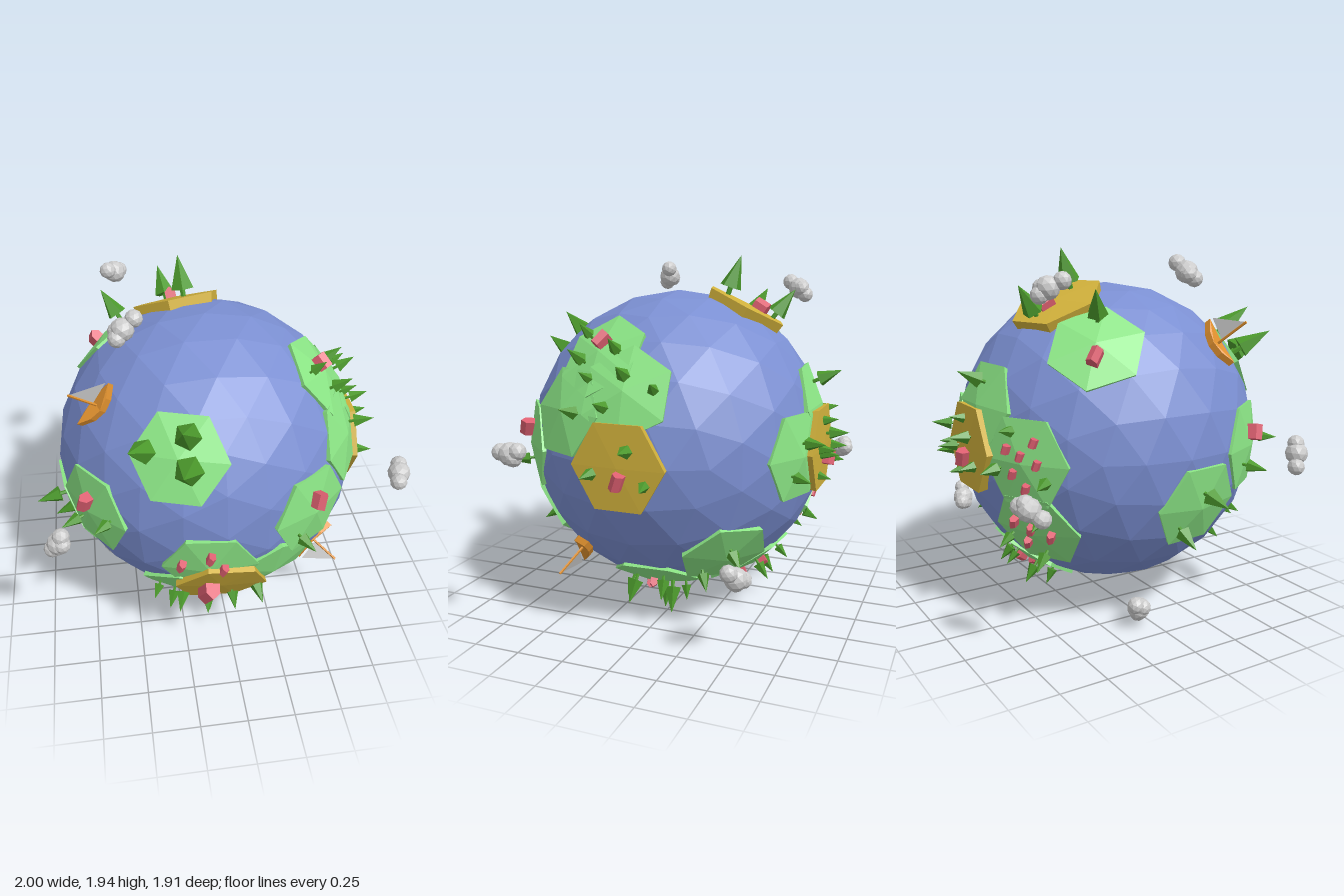
import * as THREE from 'three';

const mat = (color, side = THREE.FrontSide) => new THREE.MeshStandardMaterial({ color, flatShading: true, side });
const OCEAN = mat(0x7b8fd2), GRASS = mat(0x8be585), SAND = mat(0xd2b23c), TREE = mat(0x4c9a2c);
const BRICK = mat(0xdd5f70), WOOD = mat(0xe0912f), SAIL = mat(0xcccccc, THREE.DoubleSide), CLOUD = mat(0xbcbcbc);
const rad = THREE.MathUtils.degToRad;

function mesh(name, geometry, material) {
  const m = new THREE.Mesh(geometry, material);
  m.name = name;
  return m;
}

const polygon = (points) => new THREE.Shape(points.map(([a, b]) => new THREE.Vector2(a, b)));

// Stand an object on the globe: its y axis points outwards along y, its z axis along forward
function place(parent, obj, y, height, roll, forward) {
  y.normalize();
  const x = new THREE.Vector3().crossVectors(y, forward).normalize();
  const z = new THREE.Vector3().crossVectors(x, y);
  obj.quaternion.setFromRotationMatrix(new THREE.Matrix4().makeBasis(x, y, z));
  obj.position.copy(y).multiplyScalar(height);
  obj.rotateY(rad(roll));
  parent.add(obj);
}

// Hexagonal slab with a slightly raised centre
function plate(material, rim, crown) {
  const base = 0.745, h = rim - base;
  const g = new THREE.CylinderGeometry(0.25, 0.235, h, 6);
  const p = g.attributes.position;
  for (let i = 0; i < p.count; i++) {
    if (Math.hypot(p.getX(i), p.getZ(i)) < 0.01 && p.getY(i) > 0) p.setY(i, h / 2 + crown - rim);
  }
  return mesh('landPlate', g.translate(0, h / 2 + base, 0), material);
}

// Pine: thin trunk under a five-sided cone
function makeTree(s) {
  const g = new THREE.Group();
  g.name = 'tree';
  const trunk = mesh('trunk', new THREE.CylinderGeometry(s * 0.06, s * 0.06, s * 0.4, 5), TREE);
  trunk.position.y = s * 0.15;
  const crown = mesh('crown', new THREE.ConeGeometry(s * 0.26, s * 0.75, 5), TREE);
  crown.position.y = s * 0.625;
  g.add(trunk, crown);
  return g;
}

// House: gabled block
function makeHouse(s) {
  const w = s * 0.36;
  const gable = polygon([[-w, -0.02], [w, -0.02], [w, s * 0.5], [0, s * 0.82], [-w, s * 0.5]]);
  const g = new THREE.ExtrudeGeometry(gable, { depth: s, bevelEnabled: false });
  return mesh('house', g.translate(0, 0, -s / 2), BRICK);
}

// Boat: pointed hull, mast and a triangular sail, bow along +z
function makeBoat() {
  const g = new THREE.Group();
  g.name = 'boat';
  const outline = new THREE.Shape();
  outline.moveTo(0, -0.135);
  outline.quadraticCurveTo(0.09, 0, 0, 0.135);
  outline.quadraticCurveTo(-0.09, 0, 0, -0.135);
  const hull = new THREE.ExtrudeGeometry(outline, { depth: 0.035, bevelEnabled: false, curveSegments: 4 });
  hull.rotateX(Math.PI / 2).translate(0, 0.035, 0);
  // raise bow and stern
  const p = hull.attributes.position;
  for (let i = 0; i < p.count; i++) p.setY(i, p.getY(i) + 1.4 * p.getZ(i) ** 2);
  const mast = mesh('mast', new THREE.CylinderGeometry(0.007, 0.007, 0.2, 5), WOOD);
  mast.position.y = 0.12;
  const sail = new THREE.ShapeGeometry(polygon([[0, 0.06], [0.13, 0.075], [0, 0.22]])).rotateY(-Math.PI / 2);
  g.add(mesh('hull', hull, WOOD), mast, mesh('sail', sail, SAIL));
  return g;
}

// Cloud: a big faceted puff with three smaller ones around it
function makeCloud() {
  const g = new THREE.Group();
  g.name = 'cloud';
  for (let i = 0; i < 4; i++) {
    const puff = mesh('puff', new THREE.IcosahedronGeometry(i ? 0.045 : 0.06, 1), CLOUD);
    if (i) puff.position.set(0.04 * (i - 2), 0.01 * (i - 2), 0.065 * Math.cos(i * 2.1));
    g.add(puff);
  }
  return g;
}

// Land plates by latitude and longitude in degrees, with what stands on each
const LANDS = [
  { lat: 30, lon: -18, trees: 3, size: 0.29, turn: -30, fan: 100 },
  { lat: -1, lon: -54, houses: 1, trees: 2 },
  { lat: -19, lon: -83, trees: 2, size: 0.18 },
  { lat: 0, lon: 35, houses: 1 },
  { lat: -16, lon: -6, houses: 3, trees: 0, home: 0.05, turn: 20, fan: 70 },
  { lat: -30, lon: -1, roll: -10, sand: true, houses: 1, trees: 2, home: 0.11, turn: 175, fan: 60 },
  { lat: -27, lon: 21, roll: 30, turn: 230 },
  { lat: -40, lon: -18, roll: 30, trees: 4 },
  { lat: 0, lon: 90, sand: true, houses: 1, trees: 3, turn: -80 },
  { lat: 40, lon: 72, roll: -23, houses: 1, trees: 4 },
  { lat: 26, lon: 90, roll: 30, trees: 3 },
  { lat: 17, lon: 63, turn: 0 },
  { lat: 63, lon: -163, sand: true, houses: 1, trees: 2, size: 0.24, turn: 270, fan: 180 },
  { lat: 42, lon: -125, roll: 22, houses: 1, size: 0.21, turn: 270, fan: 180 },
  { lat: 0, lon: 180, sand: true, houses: 1, trees: 5, turn: 270 },
  { lat: 16, lon: -175, size: 0.17 },
  { lat: 0, lon: 161, trees: 3 },
  { lat: -1, lon: -150, houses: 6, trees: 3, home: 0.045 },
  { lat: -29, lon: -150, houses: 4, trees: 3, home: 0.05 },
  { lat: -40, lon: 134, roll: -8, trees: 2 },
  { lat: -62, lon: 93, houses: 2, trees: 6, size: 0.18, home: 0.055 },
  { lat: -56, lon: 175, houses: 2, trees: 4, home: 0.055 },
];

// One land plate; houses, then trees, spiral out from its middle and shrink a little on the way
function makeLand({ roll = 0, sand = false, houses = 0, trees = 1, size = 0.14, home = 0.08, turn = 90, fan = 137.5 }) {
  const land = new THREE.Group();
  land.name = sand ? 'sandLand' : 'grassLand';
  const slab = sand ? plate(SAND, 0.825, 0.835) : plate(GRASS, 0.795, 0.838);
  slab.rotation.y = rad(roll);
  land.add(slab);
  const count = houses + trees;
  for (let i = 0; i < count; i++) {
    const r = 0.17 * Math.sqrt((i + 0.5) / count), a = rad(turn + i * fan);
    const item = i < houses ? makeHouse(home) : makeTree(size * (1 - 0.08 * (i - houses)));
    const dir = new THREE.Vector3(r * Math.sin(a), 0.82, r * Math.cos(a));
    place(land, item, dir, i < houses ? 0.83 : 0.82, 70, new THREE.Vector3(0, 0, 1));
  }
  return land;
}

export function createModel() {
  const model = new THREE.Group();
  model.name = 'tinyPlanet';
  const globe = new THREE.Group();
  globe.name = 'globe';
  globe.position.set(-0.055, 0.94, 0.05);
  model.add(globe);
  globe.add(mesh('ocean', new THREE.IcosahedronGeometry(0.818, 3), OCEAN));

  // Land
  for (const spec of LANDS) {
    const n = new THREE.Vector3().setFromSphericalCoords(1, rad(90 - spec.lat), rad(spec.lon));
    place(globe, makeLand(spec), n, 0, 0, new THREE.Vector3(n.z, 0, -n.x));
  }

  // Two boats on opposite sides
  for (const s of [-1, 1]) {
    const course = new THREE.Vector3(0.22, 0.2, -0.05).multiplyScalar(-s);
    place(globe, makeBoat(), new THREE.Vector3(0.575 * s, -0.515 * s, 0.32), 0.815, 0, course);
  }

  // Drifting clouds
  const clouds = [[-0.43, 0.82, -0.57], [-0.43, 0.88, 0.23], [0.74, -0.51, -0.58], [0.97, 0.06, 0.5],
    [-0.83, -0.05, 0.67], [-0.56, -0.84, -0.13], [-0.685, -0.15, -0.81]];
  clouds.forEach((c, i) => {
    const dir = new THREE.Vector3(...c);
    place(globe, makeCloud(), dir, Math.hypot(...c), i * 50, new THREE.Vector3(c[2], 0, -c[0]));
  });

  return model;
}
